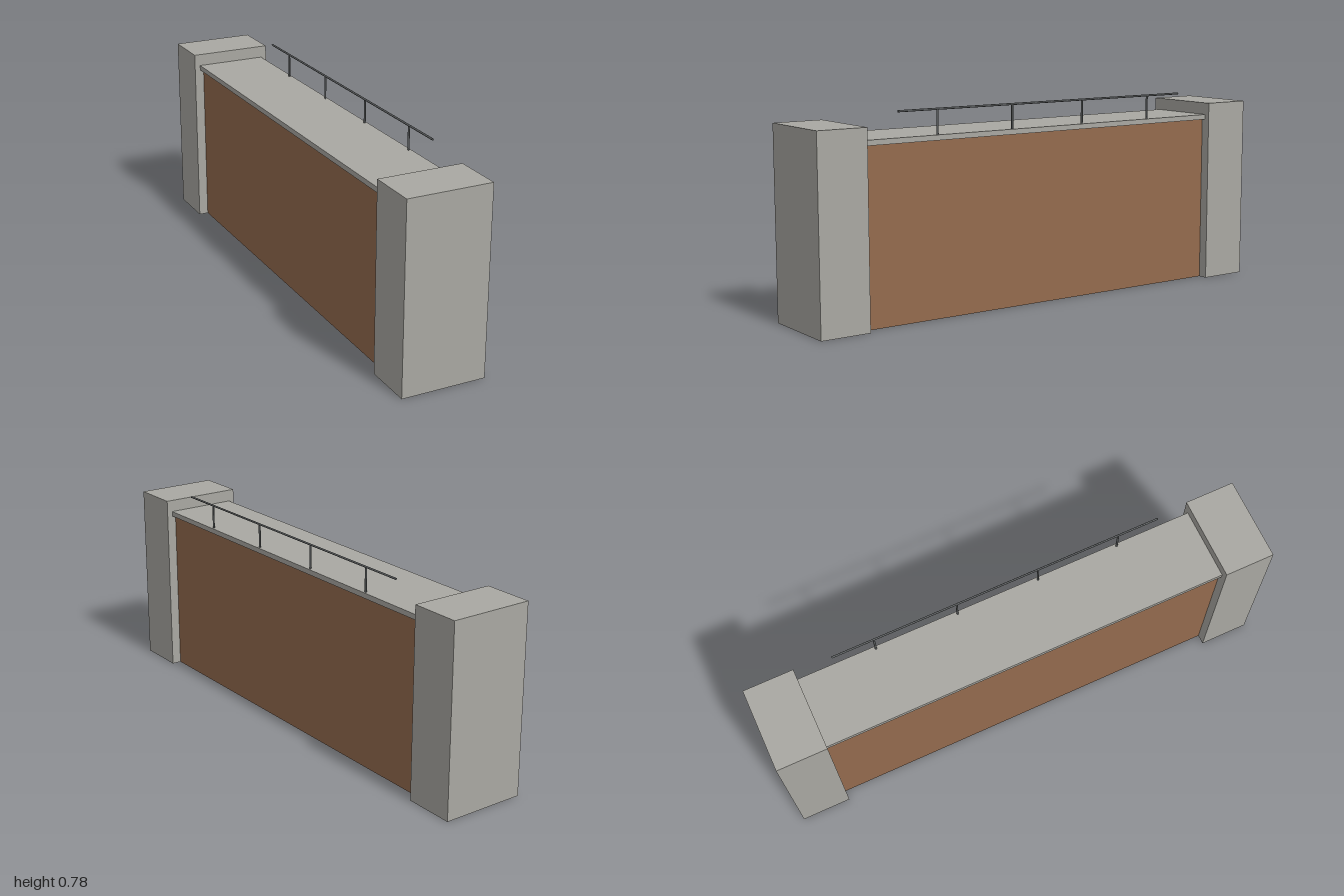
import * as THREE from 'three';

export function createModel() {
  const group = new THREE.Group();
  const stone = new THREE.MeshStandardMaterial({ name: 'stone grey', color: 0xa9a8a2 });
  const brick = new THREE.MeshStandardMaterial({ name: 'brick brown', color: 0x946b4e });
  const metal = new THREE.MeshStandardMaterial({ name: 'rail grey', color: 0x5c5f60 });

  const add = (name, geometry, material, x, y, z) => {
    const mesh = new THREE.Mesh(geometry, material);
    mesh.name = name;
    mesh.position.set(x, y, z);
    group.add(mesh);
    return mesh;
  };

  // Brown wall with an overhanging coping slab, set between the end pillars
  add('wall', new THREE.BoxGeometry(0.254, 0.662, 1.606), brick, 0, 0.331, 0);
  add('coping', new THREE.BoxGeometry(0.284, 0.02, 1.606), stone, 0, 0.672, 0);

  // End pillars
  for (const side of [1, -1]) {
    add(side > 0 ? 'frontPillar' : 'backPillar',
      new THREE.BoxGeometry(0.33, 0.73, 0.197), stone, 0, 0.365, side * 0.9015);
  }

  // Handrail along the left edge, carried on four posts
  const railX = 0.132;
  const railY = 0.775;
  const rail = add('handrail', new THREE.CylinderGeometry(0.004, 0.004, 1.32, 8), metal, railX, railY, 0);
  rail.rotation.x = Math.PI / 2;
  for (let i = 0; i < 4; i++) {
    add('railPost' + (i + 1), new THREE.CylinderGeometry(0.004, 0.004, railY - 0.682, 8),
      metal, railX, (railY + 0.682) / 2, -0.495 + i * 0.33);
  }

  return group;
}
